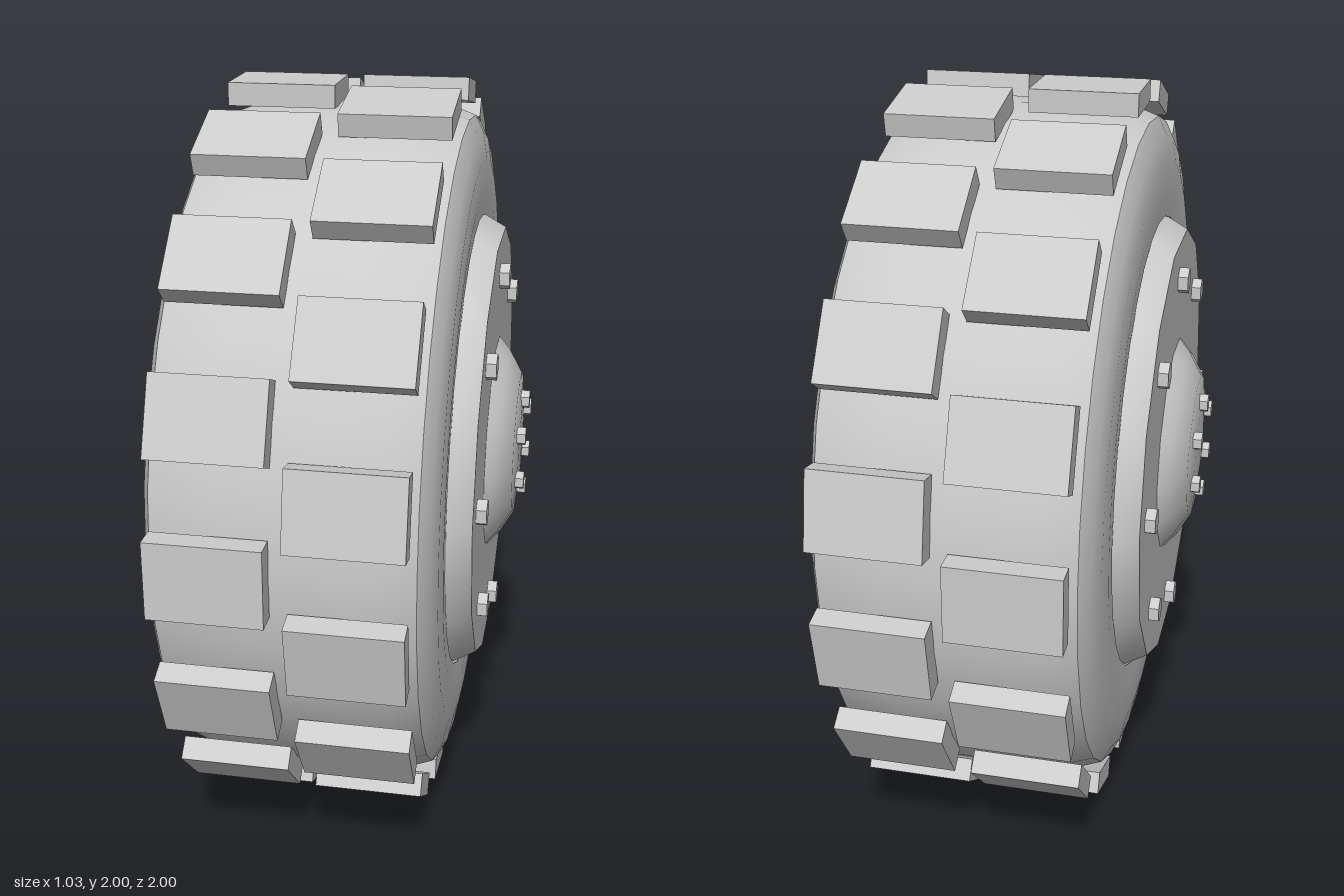
import * as THREE from 'three';
import { toCreasedNormals } from 'three/addons/utils/BufferGeometryUtils.js';

const material = new THREE.MeshStandardMaterial({ color: 0xcccccc, side: THREE.DoubleSide });

// Lathe a list of [radius, x] points around the wheel axis (x)
function latheX(points, segments, crease) {
  const profile = points.map(([r, x]) => new THREE.Vector2(r, x));
  const geometry = new THREE.LatheGeometry(profile, segments);
  geometry.rotateZ(-Math.PI / 2);
  return toCreasedNormals(geometry, crease);
}

// Turn the half profile (centre plane outwards) into a symmetric one
function mirrored(half) {
  const other = half.filter(([, x]) => x > 0).reverse().map(([r, x]) => [r, -x]);
  return [...other, ...half];
}

export function createModel() {
  const model = new THREE.Group();
  const wheel = new THREE.Group();
  wheel.name = 'wheel';
  wheel.position.y = 1;
  model.add(wheel);

  const add = (name, geometry, parent = wheel) => {
    const mesh = new THREE.Mesh(geometry, material);
    mesh.name = name;
    parent.add(mesh);
    return mesh;
  };

  // Tyre carcass: rounded shoulders, flat sidewalls, open centre
  const tyre = mirrored([
    [0.945, 0], [0.942, 0.15], [0.93, 0.25], [0.905, 0.32],
    [0.86, 0.343], [0.79, 0.356], [0.7, 0.358], [0.637, 0.355],
  ]);
  tyre.push(tyre[0]);
  add('tyre', latheX(tyre, 32, 0.7));

  // Rim drum with bevelled lip, flat face and domed hub
  const rim = mirrored([
    [0.635, 0], [0.635, 0.36], [0.604, 0.417], [0.3, 0.417],
    [0.265, 0.447], [0.2, 0.485], [0.1, 0.494], [0, 0.496],
  ]);
  add('rim', latheX(rim, 14, 0.7));

  // Two staggered rows of tread blocks
  const count = 16;
  const block = new THREE.BoxGeometry(0.285, 0.2, 0.06);
  for (const side of [-1, 1]) {
    const row = new THREE.Group();
    row.name = side < 0 ? 'rightTread' : 'leftTread';
    wheel.add(row);
    for (let i = 0; i < count; i++) {
      const angle = ((i + (side > 0 ? 0.5 : 0)) / count) * Math.PI * 2;
      const mesh = add('treadBlock', block, row);
      mesh.position.set(side * 0.164, Math.sin(angle) * 0.97, Math.cos(angle) * 0.97);
      mesh.rotation.x = -angle;
    }
  }

  // Rings of hexagonal bolts on both faces
  function boltRing(name, number, ringRadius, boltRadius, from, to) {
    const bolt = new THREE.CylinderGeometry(boltRadius, boltRadius, to - from, 6).toNonIndexed();
    bolt.rotateZ(-Math.PI / 2);
    bolt.rotateX(Math.PI / 2);
    bolt.computeVertexNormals();
    for (const side of [-1, 1]) {
      for (let i = 0; i < number; i++) {
        const angle = Math.PI / 2 + (i / number) * Math.PI * 2;
        add(name, bolt).position.set(
          side * (from + to) / 2, Math.sin(angle) * ringRadius, Math.cos(angle) * ringRadius);
      }
    }
  }
  boltRing('rimBolt', 8, 0.485, 0.036, 0.4, 0.444);
  boltRing('hubBolt', 6, 0.132, 0.026, 0.475, 0.513);

  return model;
}
